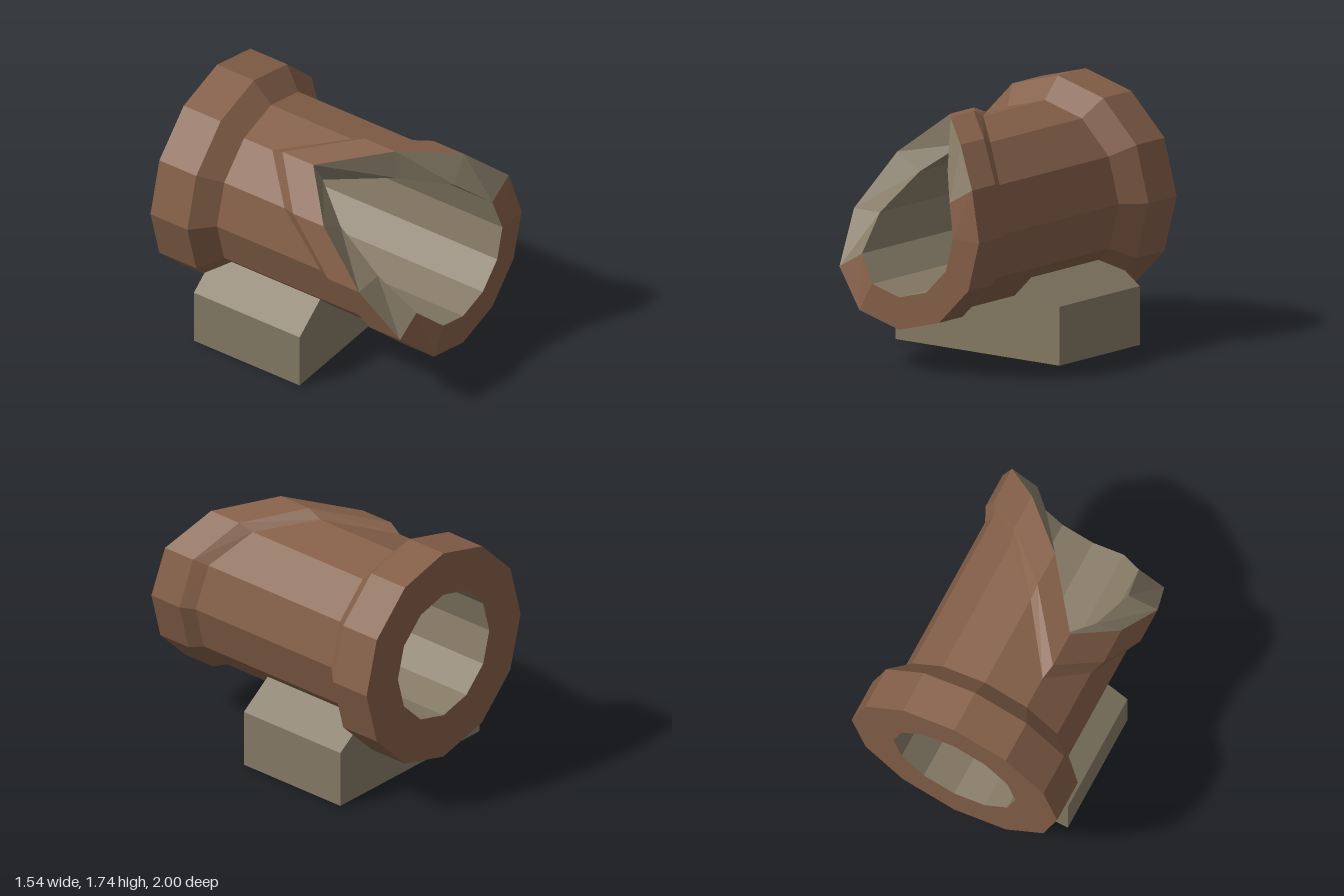
import * as THREE from 'three';

const SIDES = 12, CENTRE_Y = 0.97;
// Slanted mouth: z of each rim corner, clockwise from the top as seen from the front
const MOUTH_Z = [0.45, 0.77, 0.96, 1, 1, 1, 1, 1, 0.9, 0.63, 0.28, 0.02];

// Twelve-sided ring of corners; zAt gives the depth of each corner
function ring(radius, zAt) {
  return Array.from({ length: SIDES }, (_, k) => {
    const a = (k / SIDES) * Math.PI * 2;
    return [radius * Math.sin(a), CENTRE_Y + radius * Math.cos(a), zAt(k)];
  });
}
const flatRing = (radius, z) => ring(radius, () => z);
const mouthRing = (radius, back) => ring(radius, (k) => MOUTH_Z[k] - back);

// Faceted skin through successive rings, limited to the chosen segments
function loft(rings, first = 0, count = SIDES) {
  const pos = [];
  for (let i = 0; i < rings.length - 1; i++) {
    const a = rings[i], b = rings[i + 1];
    for (let s = 0; s < count; s++) {
      const k = (first + s) % SIDES, n = (k + 1) % SIDES;
      pos.push(...a[k], ...a[n], ...b[k], ...a[n], ...b[n], ...b[k]);
    }
  }
  const geo = new THREE.BufferGeometry();
  geo.setAttribute('position', new THREE.Float32BufferAttribute(pos, 3));
  geo.computeVertexNormals();
  return geo;
}

export function createModel() {
  const group = new THREE.Group();
  const clay = new THREE.MeshStandardMaterial({ color: 0x845f48, flatShading: true });
  clay.name = 'brown clay';
  const stone = new THREE.MeshStandardMaterial({ color: 0x857a65, flatShading: true });
  stone.name = 'grey beige stone';

  function add(name, geo, material) {
    const mesh = new THREE.Mesh(geo, material);
    mesh.name = name;
    group.add(mesh);
  }

  const innerMouth = mouthRing(0.457, 0), outerMouth = mouthRing(0.677, 0);
  const innerBack = flatRing(0.457, -1);

  // Outside: raised mouth band, barrel, flared collar and back face
  add('pipeShell', loft([
    outerMouth,
    mouthRing(0.677, 0.25),
    mouthRing(0.627, 0.35),
    flatRing(0.627, -0.56),
    flatRing(0.77, -0.7),
    flatRing(0.77, -1),
    innerBack,
  ]), clay);

  // Inside of the pipe
  add('pipeBore', loft([innerBack, innerMouth]), stone);

  // Mouth edge: intact lower part and broken upper part
  add('mouthRim', loft([innerMouth, outerMouth], 2, 6), clay);
  add('brokenRim', loft([innerMouth, outerMouth], 8, 6), stone);

  // Cradle block, its top hidden within the pipe wall
  const half = [[0.695, 0], [0.695, 0.4], [0.45, 0.575], [0.42, 0.6], [0.27, 0.5]];
  const outline = [
    ...half,
    [0, 0.43],
    ...half.map(([x, y]) => [-x, y]).reverse(),
  ].map(([x, y]) => new THREE.Vector2(x, y));
  const block = new THREE.ExtrudeGeometry(new THREE.Shape(outline), { depth: 0.86, bevelEnabled: false });
  block.translate(0, 0, -0.7);
  add('baseBlock', block, stone);

  return group;
}
